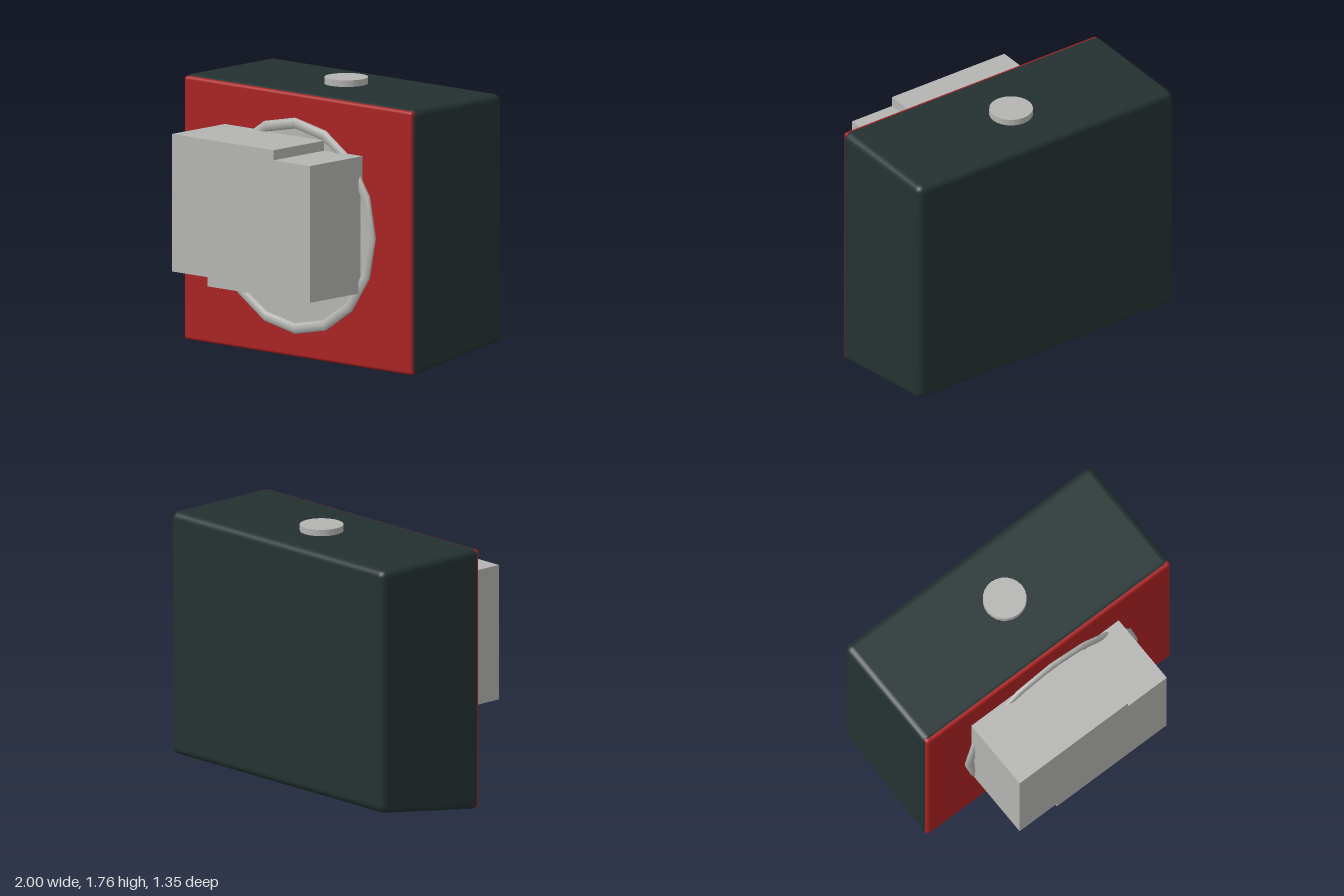
import * as THREE from 'three';
import { RoundedBoxGeometry } from 'three/addons/geometries/RoundedBoxGeometry.js';
import { mergeVertices } from 'three/addons/utils/BufferGeometryUtils.js';

const paint = (name, color) => {
  const m = new THREE.MeshStandardMaterial({ color });
  m.name = name;
  return m;
};

export function createModel() {
  const dark = paint('dark slate', 0x243131);
  const red = paint('red', 0xa92222);
  const grey = paint('light grey', 0xb4b4b2);
  const group = new THREE.Group();

  const add = (name, geometry, material, x = 0, y = 0, z = 0) => {
    const mesh = new THREE.Mesh(geometry, material);
    mesh.name = name;
    mesh.position.set(x, y, z);
    group.add(mesh);
    return mesh;
  };
  // box given by its limits on each axis
  const block = (name, [x0, x1], [y0, y1], [z0, z1]) =>
    add(name, new THREE.BoxGeometry(x1 - x0, y1 - y0, z1 - z0), grey,
      (x0 + x1) / 2, (y0 + y1) / 2, (z0 + z1) / 2);

  // rounded body whose underside rises towards the back
  const H = 1.73, D = 0.845;
  let body = new RoundedBoxGeometry(2, H, D, 4, 0.05);
  const p = body.attributes.position;
  for (let i = 0; i < p.count; i++) {
    const low = 0.5 - p.getY(i) / H;
    const back = 0.5 - p.getZ(i) / D;
    p.setY(i, p.getY(i) + 0.13 * low * back);
  }
  body.deleteAttribute('normal');
  body.deleteAttribute('uv');
  body = mergeVertices(body, 1e-4);
  body.computeVertexNormals();
  add('body', body, dark, 0, H / 2, -0.25);

  // front panel
  add('frontPanel', new RoundedBoxGeometry(1.975, 1.705, 0.06, 3, 0.02), red, 0, 0.867, 0.147);

  // flattened ring and the disc inside it
  const ring = add('lensRing', new THREE.TorusGeometry(0.665, 0.035, 8, 16), grey, 0, 0.87, 0.2);
  ring.scale.z = 0.52;
  add('lensDisc', new THREE.CircleGeometry(0.64, 16), grey, 0, 0.87, 0.199);

  // two overlapping blocks projecting from the disc
  block('upperLensBlock', [-0.63, 0.25], [0.56, 1.45], [0.15, 0.675]);
  block('lowerLensBlock', [-0.325, 0.565], [0.5, 1.385], [0.15, 0.672]);

  // button on top
  add('topButton', new THREE.CylinderGeometry(0.14, 0.14, 0.06, 24), grey, 0, 1.742, -0.28);

  return group;
}
